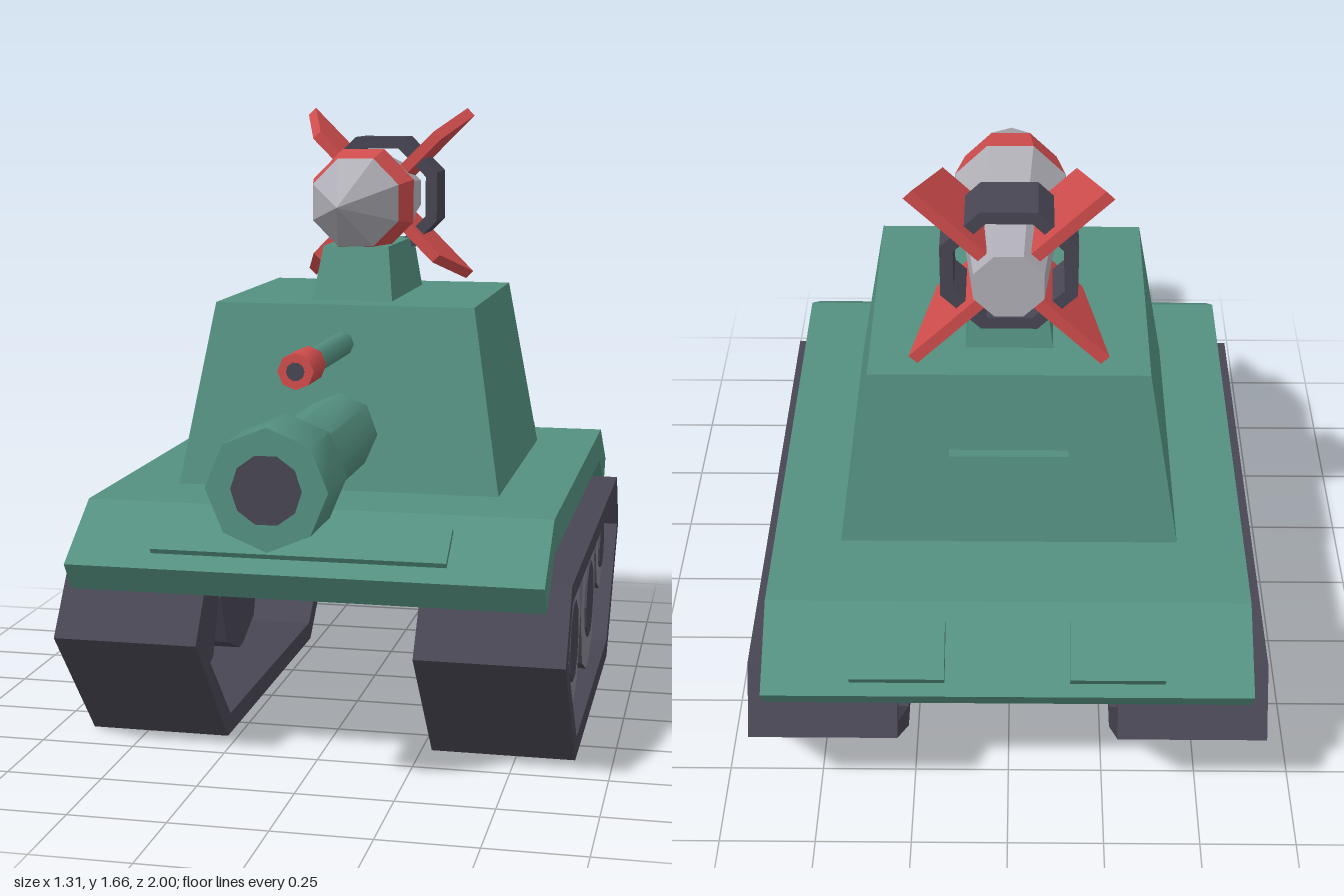
import * as THREE from 'three';
import { toCreasedNormals } from 'three/addons/utils/BufferGeometryUtils.js';

const mat = (name, color) => {
  const m = new THREE.MeshStandardMaterial({ color });
  m.name = name;
  return m;
};

export function createModel() {
  const green = mat('hull green', 0x549080);
  const dark = mat('dark steel', 0x484653);
  const grey = mat('wheel grey', 0x83828c);
  const silver = mat('missile silver', 0xb1afb7);
  const red = mat('warning red', 0xd14d4d);

  const model = new THREE.Group();
  model.name = 'missileTank';

  const add = (name, geo, material, parent = model) => {
    const mesh = new THREE.Mesh(geo, material);
    mesh.name = name;
    parent.add(mesh);
    return mesh;
  };
  const flat = (geo) => {
    const g = geo.index ? geo.toNonIndexed() : geo;
    g.computeVertexNormals();
    return g;
  };
  const vec = (pts) => pts.map(([a, b]) => new THREE.Vector2(a, b));

  // side profile of [z, y] points, extruded across x and centred on cx
  const sideExtrude = (outer, width, cx = 0, hole = null) => {
    const shape = new THREE.Shape(vec(outer));
    if (hole) shape.holes.push(new THREE.Path(vec(hole)));
    const g = new THREE.ExtrudeGeometry(shape, { depth: width, bevelEnabled: false });
    return g.rotateY(-Math.PI / 2).translate(cx + width / 2, 0, 0);
  };

  // block whose top and bottom rectangles differ: [halfX, zBack, zFront]
  const taperedBlock = (y0, bottom, y1, top) => {
    const g = new THREE.BoxGeometry(1, 1, 1);
    const p = g.attributes.position;
    for (let i = 0; i < p.count; i++) {
      const up = p.getY(i) > 0;
      const [hx, zb, zf] = up ? top : bottom;
      p.setXYZ(i, Math.sign(p.getX(i)) * hx, up ? y1 : y0, p.getZ(i) > 0 ? zf : zb);
    }
    return flat(g);
  };

  // eight-sided turned part along z from [radius, z] points, back to front
  const turned = (pts, phi = 0) =>
    new THREE.LatheGeometry(vec(pts), 8, phi).rotateX(Math.PI / 2);
  const smoothTurned = (pts) => toCreasedNormals(turned(pts), 0.9);

  // hull: one bent slab
  add('hull', sideExtrude([
    [0.7, 0.537], [0.505, 0.665], [-0.8, 0.665], [-1, 0.537],
    [-0.95, 0.463], [-0.777, 0.573], [0.478, 0.573], [0.65, 0.463],
  ], 1.208), green);

  // plates lying on the sloped ends
  const slope = Math.atan2(0.128, 0.193);
  const frontPlate = add('frontPlate', new THREE.BoxGeometry(0.75, 0.034, 0.12), green);
  frontPlate.position.set(-0.015, 0.598, 0.605);
  frontPlate.rotation.x = slope;
  for (const s of [-1, 1]) {
    const hatch = add('rearHatch', new THREE.BoxGeometry(0.233, 0.05, 0.146), green);
    hatch.position.set(s * 0.27, 0.609, -0.92);
    hatch.rotation.x = -slope;
  }

  // turret and missile pedestal
  add('turret', taperedBlock(0.665, [0.432, -0.575, 0.27], 1.147, [0.35, -0.505, 0.178]), green);
  add('pedestal', taperedBlock(1.147, [0.11, -0.39, 0.07], 1.29, [0.09, -0.36, 0.02]), green);
  const turretHatch = add('turretHatch', new THREE.BoxGeometry(0.3, 0.155, 0.05), green);
  turretHatch.position.set(0, 0.86, -0.555);
  turretHatch.rotation.x = Math.atan2(0.07, 0.482);

  // main gun
  const gun = new THREE.Group();
  gun.name = 'mainGun';
  gun.position.y = 0.813;
  model.add(gun);
  add('barrel', smoothTurned([
    [0.105, 0.1], [0.105, 0.734], [0.145, 0.798], [0.145, 1], [0, 1],
  ]), green, gun);
  add('bore', new THREE.CircleGeometry(0.084, 10), dark, gun).position.z = 1.002;

  // small gun
  const smallGun = new THREE.Group();
  smallGun.name = 'smallGun';
  smallGun.position.y = 1.045;
  model.add(smallGun);
  add('smallBarrel', smoothTurned([[0.032, 0.1], [0.032, 0.525], [0.045, 0.58]]), green, smallGun);
  add('smallMuzzle', smoothTurned([[0.045, 0.58], [0.045, 0.715], [0, 0.715]]), red, smallGun);
  add('smallBore', new THREE.CircleGeometry(0.023, 10), dark, smallGun).position.z = 0.717;

  // missile
  const missile = new THREE.Group();
  missile.name = 'missile';
  missile.position.y = 1.408;
  model.add(missile);
  const facet = (pts) => flat(turned(pts, Math.PI / 8));
  add('nose', facet([[0.128, 0.025], [0, 0.262]]), silver, missile);
  add('band', facet([[0.152, -0.08], [0.128, 0.025]]), red, missile);
  add('body', facet([[0, -0.505], [0.092, -0.505], [0.12, -0.27], [0.152, -0.08]]), silver, missile);
  add('tailRing', facet([
    [0.146, -0.44], [0.181, -0.44], [0.181, -0.3], [0.146, -0.3], [0.146, -0.44],
  ]), dark, missile);

  // four diagonal fins
  const finShape = new THREE.Shape(vec([[0.09, -0.26], [0.09, -0.475], [0.335, -0.475], [0.245, -0.26]]));
  for (let i = 0; i < 4; i++) {
    const g = new THREE.ExtrudeGeometry(finShape, { depth: 0.03, bevelEnabled: false });
    g.translate(0, 0, -0.015).rotateX(Math.PI / 2);
    add('fin', g, red, missile).rotation.z = Math.PI / 4 + i * Math.PI / 2;
  }

  // tracks with wheels: [z, y, radius, hub radius]
  const wheels = [
    [0.477, 0.36, 0.1, 0.053], [0.16, 0.26, 0.213, 0.11],
    [-0.285, 0.26, 0.213, 0.11], [-0.665, 0.333, 0.14, 0.072],
  ];
  const beltOuter = [[0.655, 0.33], [0.53, 0.505], [-0.857, 0.505], [-0.953, 0.34], [-0.59, 0], [0.366, 0]];
  const beltInner = [[0.6, 0.33], [0.505, 0.457], [-0.83, 0.457], [-0.9, 0.345], [-0.57, 0.055], [0.34, 0.055]];
  for (const s of [-1, 1]) {
    const track = new THREE.Group();
    track.name = s > 0 ? 'leftTrack' : 'rightTrack';
    model.add(track);
    add('belt', sideExtrude(beltOuter, 0.376, s * 0.465, beltInner), dark, track);
    for (const [z, y, r, hub] of wheels) {
      // dark drum with a grey outer face
      const drum = flat(new THREE.CylinderGeometry(r, r, 0.2, 8).rotateZ(-s * Math.PI / 2));
      add('wheel', drum, [dark, grey, dark], track).position.set(s * 0.52, y, z);
      const cap = flat(new THREE.CylinderGeometry(hub, hub, 0.008, 10).rotateZ(-s * Math.PI / 2));
      add('hub', cap, dark, track).position.set(s * 0.622, y, z);
    }
  }
  return model;
}
